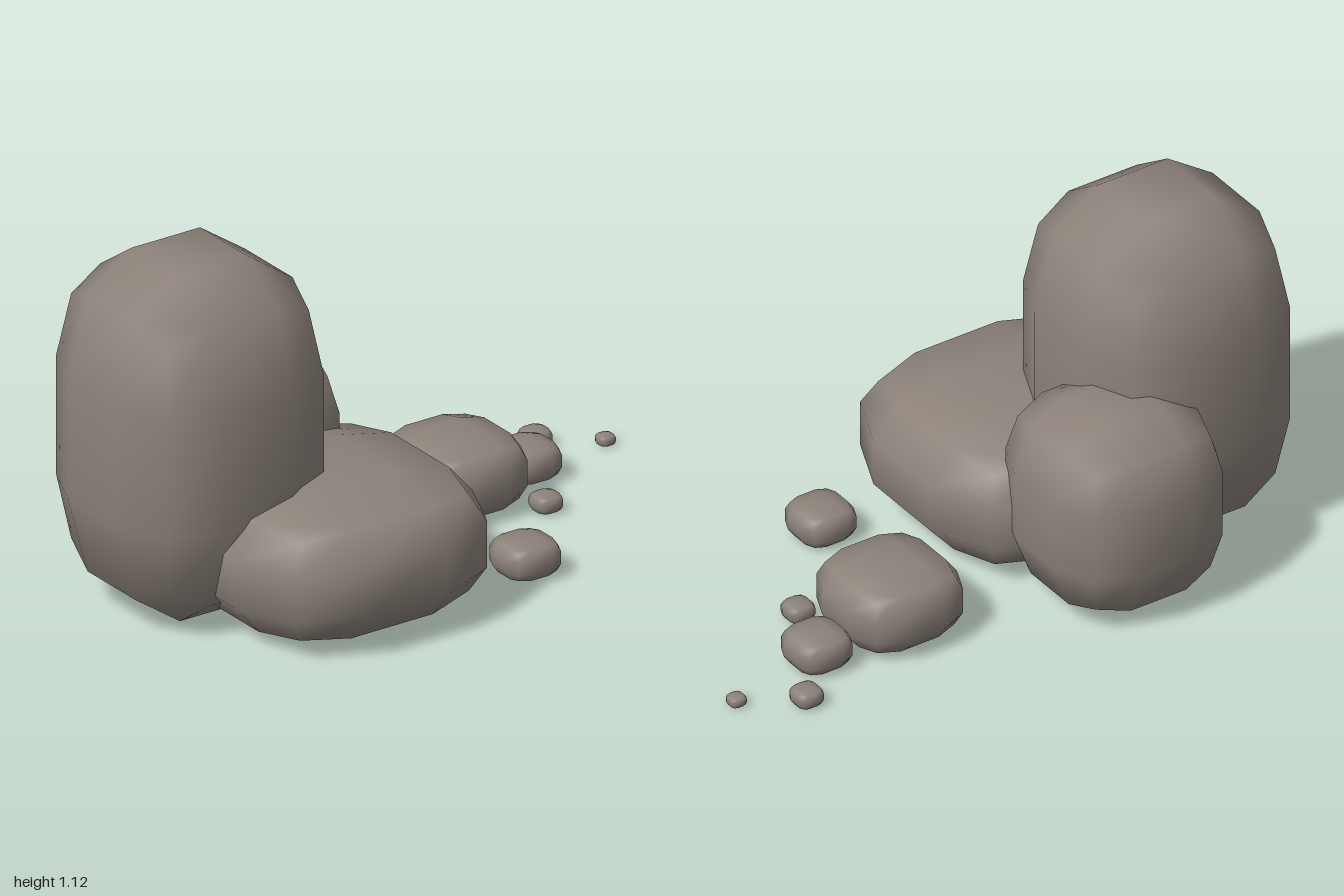
import * as THREE from 'three';
import { mergeVertices } from 'three/addons/utils/BufferGeometryUtils.js';

// Unit stone: a 3x3x3 box with its edges and corners pulled in, smooth shaded
function stoneGeometry() {
  let geo = new THREE.BoxGeometry(2, 2, 2, 3, 3, 3);
  geo.deleteAttribute('normal');
  geo.deleteAttribute('uv');
  geo = mergeVertices(geo, 1e-3);
  const pos = geo.attributes.position;
  const outer = [0, 1, 0.8, 0.71]; // by face, edge, corner
  for (let i = 0; i < pos.count; i++) {
    const p = [pos.getX(i), pos.getY(i), pos.getZ(i)];
    const n = p.filter((v) => Math.abs(v) > 0.9).length;
    pos.setXYZ(i, ...p.map((v) => Math.sign(v) * (Math.abs(v) > 0.9 ? outer[n] : 0.345)));
  }
  return geo;
}

export function createModel() {
  const group = new THREE.Group();
  const stone = new THREE.MeshStandardMaterial({ color: 0x8b8179 });
  stone.name = 'stone';

  // name, centre x, centre z, half width, half depth, height
  const rocks = [
    ['tallBoulder', -0.065, 0.645, 0.355, 0.355, 1.125],
    ['wideBoulder', 0.18, 0.33, 0.43, 0.43, 0.44],
    ['sideBoulder', -0.325, 0.315, 0.29, 0.288, 0.65],
    ['mediumRock', -0.145, -0.365, 0.195, 0.195, 0.24],
    ['smallRockBack', -0.18, -0.65, 0.095, 0.095, 0.12],
    ['smallRockSide', 0.37, -0.26, 0.095, 0.095, 0.12],
    ['pebble1', 0.047, -0.562, 0.046, 0.046, 0.06],
    ['pebble2', 0.15, -0.212, 0.046, 0.046, 0.06],
    ['pebble3', -0.342, -0.797, 0.046, 0.046, 0.06],
    ['pebble4', -0.23, -0.972, 0.028, 0.028, 0.036],
  ];

  for (const [name, x, z, w, d, h] of rocks) {
    const geo = stoneGeometry().scale(w, h / 2, d);
    geo.computeVertexNormals();
    const mesh = new THREE.Mesh(geo, stone);
    mesh.name = name;
    mesh.position.set(x, h / 2, z);
    group.add(mesh);
  }
  return group;
}
